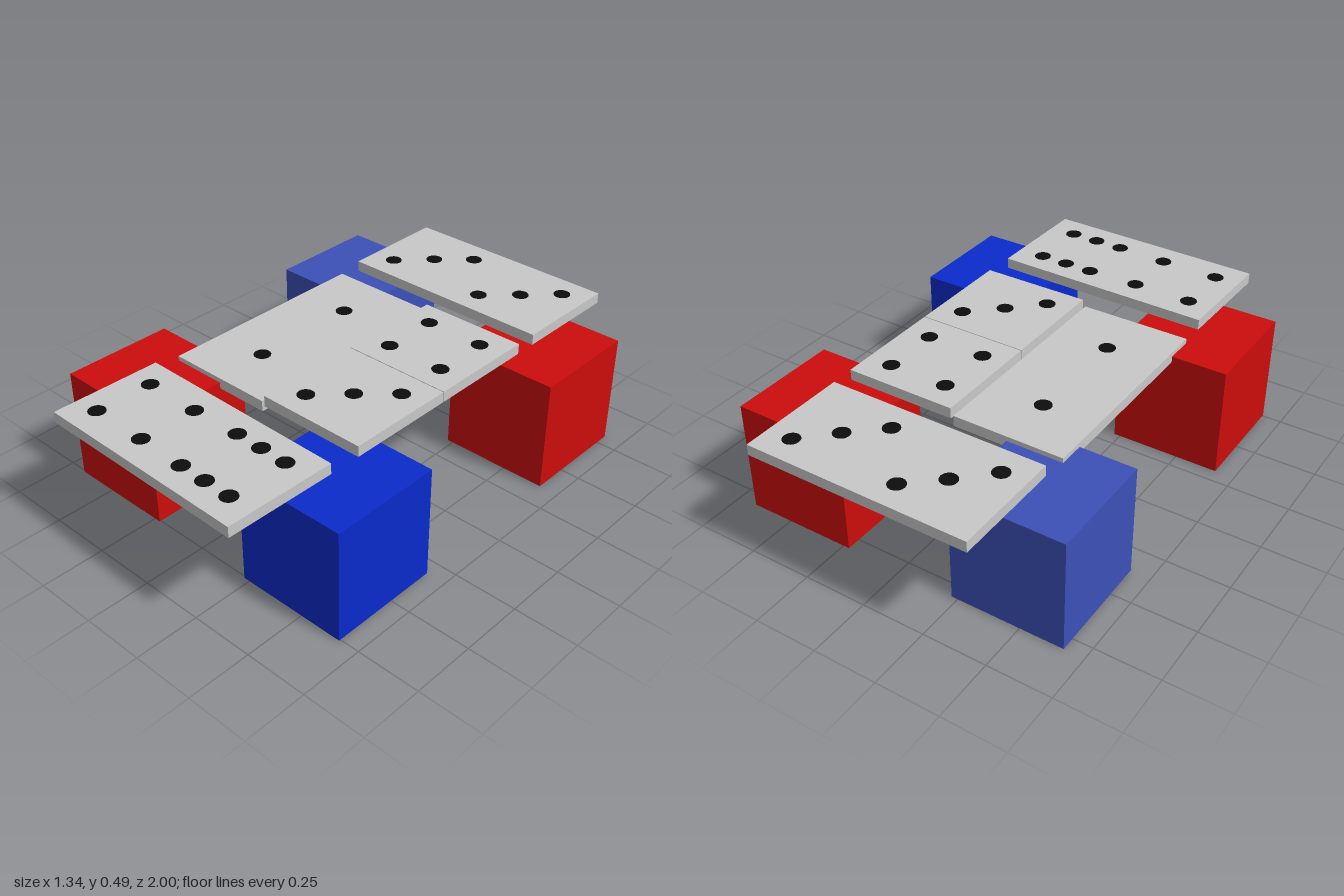
import * as THREE from 'three';

const mat = (name, color) => {
  const m = new THREE.MeshStandardMaterial({ color });
  m.name = name;
  return m;
};

export function createModel() {
  const red = mat('red', 0xcc0c0c);
  const blue = mat('blue', 0x0b2bcb);
  const paleBlue = mat('paleBlue', 0x3c50b8);
  const grey = mat('lightGrey', 0xc8c8c8);
  const black = mat('black', 0x0c0c0c);

  const model = new THREE.Group();
  model.name = 'dominoTable';

  function box(parent, name, material, size, pos) {
    const mesh = new THREE.Mesh(new THREE.BoxGeometry(...size), material);
    mesh.name = name;
    mesh.position.set(...pos);
    parent.add(mesh);
    return mesh;
  }

  // Four supporting cubes
  const C = 0.446;
  const cubes = [
    ['frontRightCube', red, -0.448, 0.533],
    ['frontLeftCube', blue, 0.448, 0.533],
    ['backRightCube', paleBlue, -0.448, -0.582],
    ['backLeftCube', red, 0.448, -0.582],
  ];
  for (const [name, material, x, z] of cubes) box(model, name, material, [C, C, C], [x, C / 2, z]);

  // Domino tiles: flat slabs with pips running through to both faces
  const T = 0.043;
  const pipGeometry = new THREE.CylinderGeometry(0.033, 0.033, T + 0.003, 20);

  function tile(name, slabs, y, pips) {
    const group = new THREE.Group();
    group.name = name;
    for (const [x, z, w, d] of slabs) box(group, name + 'Slab', grey, [w, T, d], [x, y, z]);
    for (const [x, z] of pips) {
      const pip = new THREE.Mesh(pipGeometry, black);
      pip.name = 'pip';
      pip.position.set(x, y, z);
      group.add(pip);
    }
    model.add(group);
    return group;
  }

  tile('backTile', [[0.004, -0.778, 0.89, 0.444]], 0.469, [
    [-0.34, -0.665], [-0.22, -0.785], [-0.096, -0.895],
    [0.105, -0.665], [0.228, -0.778], [0.346, -0.895],
  ]);

  // Sits a little lower, sunk between the right-hand cubes
  tile('rightTile', [[-0.228, -0.02, 0.445, 0.89]], 0.443, [[-0.231, -0.241], [-0.231, 0.205]]);

  // Two square halves with a seam
  tile('leftTile', [[0.228, -0.243, 0.444, 0.443], [0.228, 0.203, 0.444, 0.443]], 0.47, [
    [0.104, -0.36], [0.346, -0.36], [0.104, -0.129], [0.346, -0.129],
    [0.35, 0.09], [0.226, 0.202], [0.107, 0.32],
  ]);

  // Slightly turned tile, pips given relative to its centre
  const front = tile('frontTile', [[0, 0, 0.892, 0.445]], 0.468, [
    [-0.345, -0.116], [-0.105, -0.116], [0.105, -0.124], [0.221, -0.124], [0.336, -0.123],
    [-0.345, 0.116], [-0.105, 0.116], [0.105, 0.12], [0.221, 0.12], [0.336, 0.12],
  ]);
  front.position.set(-0.003, 0, 0.766);
  front.rotation.y = -0.017;

  return model;
}
